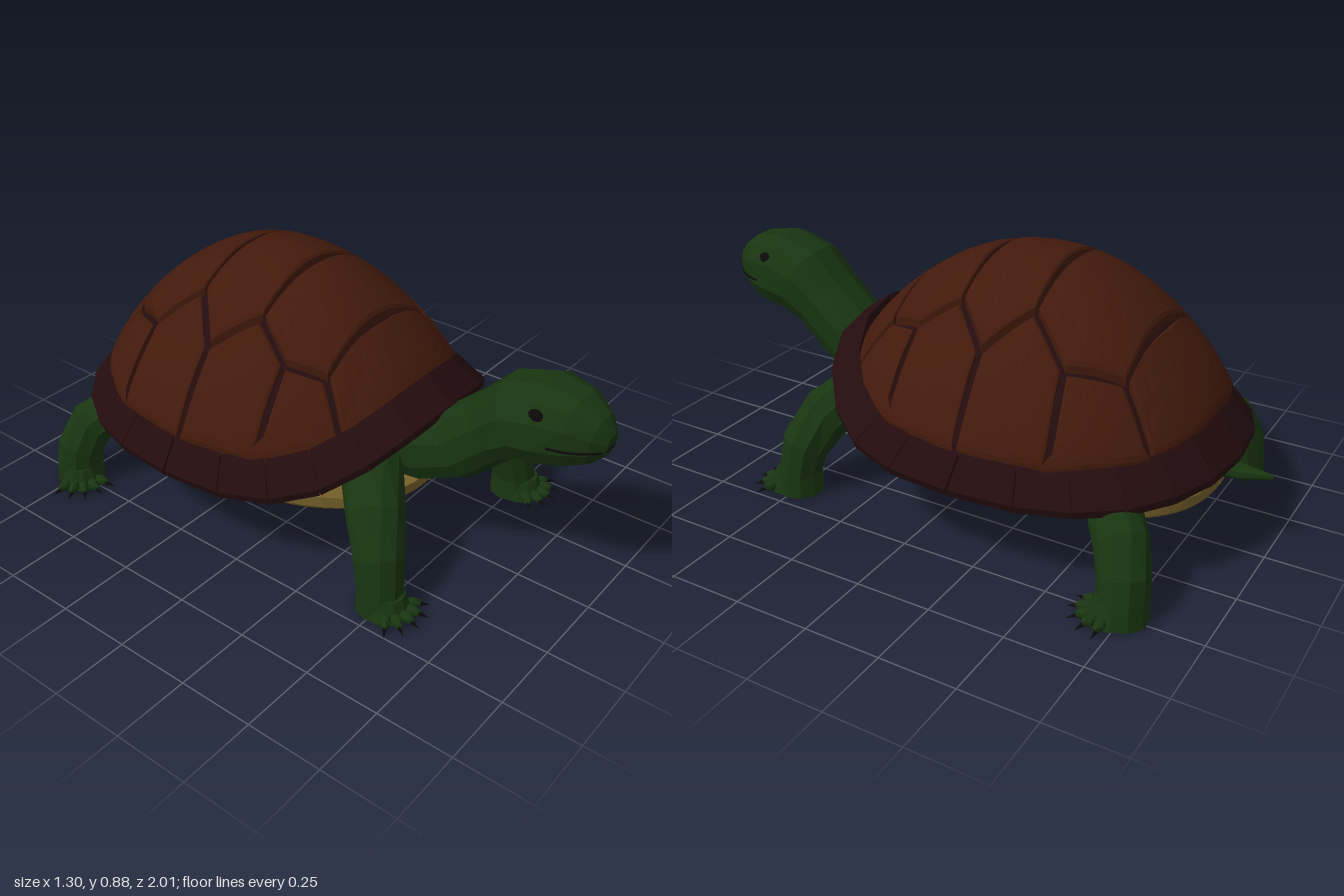
import * as THREE from 'three';
import { ConvexGeometry } from 'three/addons/geometries/ConvexGeometry.js';

const V = (x, y, z) => new THREE.Vector3(x, y, z);
const mat = (color) => new THREE.MeshStandardMaterial({ color, flatShading: true, side: THREE.DoubleSide });
const SHELL = mat(0x421a0c), RIM = mat(0x240c0e), SKIN = mat(0x193511), BELLY = mat(0x78622b), DARK = mat(0x0c0909);

function add(parent, name, geometry, material) {
  const mesh = new THREE.Mesh(geometry, material);
  mesh.name = name;
  parent.add(mesh);
  return mesh;
}

// Skin between closed rings of equal length, with a fan closing each end
function loft(rings) {
  const n = rings[0].length, pos = [], index = [];
  const put = (p) => pos.push(p.x, p.y, p.z) / 3 - 1;
  const middle = (ring) => ring.reduce((sum, p) => sum.add(p), V(0, 0, 0)).divideScalar(n);
  rings.forEach((ring) => ring.forEach(put));
  const first = put(middle(rings[0])), last = put(middle(rings.at(-1)));
  const end = (rings.length - 1) * n;
  for (let j = 0; j < n; j++) {
    const k = (j + 1) % n;
    for (let i = 0; i < end; i += n) index.push(i + j, i + k, i + n + j, i + k, i + n + k, i + n + j);
    index.push(first, k, j, last, end + j, end + k);
  }
  const g = new THREE.BufferGeometry();
  g.setAttribute('position', new THREE.Float32BufferAttribute(pos, 3));
  g.setIndex(index);
  const flat = g.toNonIndexed();
  flat.computeVertexNormals();
  return flat;
}

// Signed power: rounds a circle towards a square when n > 2
const bulge = (v, n) => Math.sign(v) * Math.abs(v) ** (2 / n);

// Oval sections along a path of [x, y, z, width, height]
function limb(path, ref, sides = 10, pow = 2) {
  const c = path.map((p) => V(p[0], p[1], p[2]));
  return loft(path.map(([, , , w, h], i) => {
    const t = c[Math.min(i + 1, c.length - 1)].clone().sub(c[Math.max(i - 1, 0)]);
    if (i === c.length - 2) t.copy(c[i + 1]).sub(c[i]);
    t.normalize();
    const side = ref.clone().addScaledVector(t, -ref.dot(t)).normalize();
    const up = t.clone().cross(side);
    return Array.from({ length: sides }, (_, j) => {
      const a = ((j + 0.5) / sides) * Math.PI * 2;
      return c[i].clone().addScaledVector(side, w * bulge(Math.cos(a), pow)).addScaledVector(up, h * bulge(Math.sin(a), pow));
    });
  }));
}

// Rounded oval outlines seen from above
const POW = 2.3;
const DOME = { hx: 0.53, hz: 0.6, zc: -0.22 };
const EDGE = { hx: 0.588, hz: 0.683, zc: -0.212 };
const PLASTRON = { hx: 0.48, hz: 0.62, zc: -0.22 };
const norm = (o, x, z) => (Math.abs(x / o.hx) ** POW + Math.abs((z - o.zc) / o.hz) ** POW) ** (1 / POW);
const along = (o, x, z) => (z - o.zc) / o.hz / Math.max(norm(o, x, z), 0.001);
function outline(o, a, k, height) {
  const x = o.hx * k * bulge(Math.cos(a), POW), z = o.zc + o.hz * k * bulge(Math.sin(a), POW);
  return V(x, height(x, z), z);
}
const ovalRing = (o, k, height) => Array.from({ length: 48 }, (_, j) => outline(o, (j / 48) * Math.PI * 2, k, height));

// Height rules of dome, rim and belly
const lift = (s, front, back) => (s > 0 ? front : back) * s ** 4;
const domeEdge = (x, z) => 0.39 + lift(along(DOME, x, z), 0.14, 0.05);
const domeY = (x, z) => {
  const e = domeEdge(x, z), r = Math.min(norm(DOME, x, z), 1);
  return e + (0.88 - e) * (1 - r ** 2) ** 0.85;
};
const rimY = (x, z) => 0.305 + lift(along(EDGE, x, z), 0.225, 0.035);
const rimInnerY = (x, z) => domeEdge(x, z) + 0.01 + lift(along(DOME, x, z), 0.06, 0);
const bellyTop = (x, z) => 0.305 - 0.06 * along(PLASTRON, x, z) ** 2;
const bellyY = (x, z) => 0.125 + (0.13 - 0.05 * along(PLASTRON, x, z) ** 2) * norm(PLASTRON, x, z) ** 2.6;

// Raised plate over a polygon of [x, z]; dir is +1 for upward, -1 for downward
function plate(poly, o, height, dir, gap, depth) {
  const pts = [];
  poly.forEach((p, i) => {
    const q = poly[(i + 1) % poly.length];
    const n = Math.ceil(Math.hypot(q[0] - p[0], q[1] - p[1]) / 0.06 / 2) * 2;
    for (let s = 0; s < n; s++) {
      const x = p[0] + ((q[0] - p[0]) * s) / n, z = p[1] + ((q[1] - p[1]) * s) / n;
      const k = 1 / Math.max(1, norm(o, x, z));
      pts.push(new THREE.Vector2(x * k, o.zc + (z - o.zc) * k));
    }
  });
  if (THREE.ShapeUtils.area(pts) * dir > 0) pts.reverse();
  const c = pts.reduce((sum, p) => sum.add(p), new THREE.Vector2()).divideScalar(pts.length);
  const ring = (inset, scale, drop) => pts.map((p) => {
    const d = p.clone().sub(c);
    d.multiplyScalar(scale * (1 - inset / d.length())).add(c);
    return V(d.x, height(d.x, d.y) - dir * drop, d.y);
  });
  const top = [0.85, 0.7, 0.55, 0.4, 0.25, 0.1].map((k) => ring(gap, k, 0));
  return loft([ring(gap, 1, depth), ring(gap, 1, 0.006), ring(gap + 0.008, 1, 0), ...top]);
}
const mirrored = (poly) => poly.map(([x, z]) => [-x, z]);

function buildShell(root) {
  const shell = new THREE.Group();
  shell.name = 'shell';
  root.add(shell);
  const rings = [0.1, 0.3, 0.5, 0.7, 0.85, 0.95, 1].map((k) => ovalRing(DOME, k, (x, z) => domeY(x, z) - 0.03));
  rings.push(ovalRing(EDGE, 0.98, (x, z) => rimY(x, z) - 0.008));
  const under = rings.slice(3).reverse().map((r) => r.map((p) => V(p.x * 0.98, p.y - 0.02, p.z)));
  add(shell, 'shellBase', loft([...rings, ...under]), RIM);

  // Centre row: seam corners alternate with outward points
  const seam = [[0.26, 0.185], [0.26, -0.07], [0.255, -0.32], [0.26, -0.62]];
  const point = [[0.31, 0.06], [0.37, -0.2], [0.34, -0.46]];
  const half = [
    [[0.2, 0.45], [0.34, 0.32], seam[0]],
    ...point.map((p, i) => [seam[i], p, seam[i + 1]]),
    [seam[3], [0.36, -0.82], [0.2, -0.92]],
  ];
  half.forEach((h) => add(shell, 'centreScute', plate([...h, ...mirrored(h).reverse()], DOME, domeY, 1, 0.012, 0.045), SHELL));

  // Side rows
  const out = [[0.34, 0.32], [0.6, 0.09], [0.65, -0.2], [0.6, -0.51], [0.36, -0.82]];
  const sides = [
    [seam[0], out[0], out[1], point[0]],
    [seam[1], point[0], out[1], out[2], point[1]],
    [seam[2], point[1], out[2], out[3], point[2]],
    [seam[3], point[2], out[3], out[4]],
  ];
  sides.forEach((p) => [p, mirrored(p)].forEach((q) => add(shell, 'sideScute', plate(q, DOME, domeY, 1, 0.012, 0.045), SHELL)));

  // Rim plates
  const count = 24, step = (Math.PI * 2) / count;
  for (let i = 0; i < count; i++) {
    const corners = [];
    for (const a of [(i + 0.01) * step, (i + 0.99) * step]) {
      const inner = outline(DOME, a, 0.985, rimInnerY), outer = outline(EDGE, a, 1, rimY);
      corners.push(inner, outer, V(inner.x, inner.y - 0.06, inner.z), V(outer.x * 0.985, outer.y - 0.025, outer.z));
    }
    add(shell, 'rimPlate', new ConvexGeometry(corners), RIM);
  }
}

function buildBelly(root) {
  const base = (x, z) => bellyY(x, z) + 0.02;
  const rings = [ovalRing(PLASTRON, 0.9, bellyTop), ovalRing(PLASTRON, 1, bellyTop)];
  [1, 0.9, 0.7, 0.4, 0.1].forEach((k) => rings.push(ovalRing(PLASTRON, k, base)));
  add(root, 'bellyBase', loft(rings), BELLY);
  // Paired plates with slanting seams
  const cuts = [0.6, 0.12, -0.18, -0.5, -1];
  for (let i = 0; i < 4; i++) {
    const a = cuts[i], b = cuts[i + 1];
    const p = [[0, a], [0.35, a - 0.02], [0.65, a], [0.65, b], [0.35, b - 0.02], [0, b]];
    [p, mirrored(p)].forEach((q) => add(root, 'bellyPlate', plate(q, PLASTRON, bellyY, -1, 0.006, 0.03), BELLY));
  }
}

// Leg with a padded foot, five toes and claws
function buildLeg(root, name, path, s, heading) {
  const leg = new THREE.Group();
  leg.name = name;
  root.add(leg);
  add(leg, 'limb', limb(path.map(([x, y, z, r]) => [s * x, y, z, r, r]), V(0, 0, 1)), SKIN);
  const [x, , z] = path.at(-1), h = s * heading;
  const fx = s * x + Math.sin(h) * 0.03, fz = z + Math.cos(h) * 0.03;
  add(leg, 'foot', new THREE.CylinderGeometry(0.055, 0.078, 0.07, 10), SKIN).position.set(fx, 0.037, fz);
  for (let i = -2; i <= 2; i++) {
    const a = h + i * 0.45;
    const place = (mesh, d, y) => {
      mesh.position.set(fx + Math.sin(a) * d, y, fz + Math.cos(a) * d);
      mesh.rotation.y = a;
    };
    place(add(leg, 'toe', new THREE.SphereGeometry(0.02, 7, 5).scale(0.9, 0.95, 2), SKIN), 0.07, 0.021);
    place(add(leg, 'claw', new THREE.ConeGeometry(0.009, 0.04, 5).rotateX(Math.PI / 2 + 0.2), DARK), 0.115, 0.013);
  }
}

export function createModel() {
  const root = new THREE.Group();
  root.name = 'turtle';
  buildShell(root);
  buildBelly(root);
  const body = add(root, 'body', new THREE.SphereGeometry(1, 20, 12).scale(0.46, 0.16, 0.58), SKIN);
  body.position.set(0, 0.36, -0.2);
  body.rotation.x = -0.08;

  // Neck and head in one sweep
  add(root, 'neckAndHead', limb([
    [0, 0.35, 0.2, 0.14, 0.12], [0, 0.37, 0.4, 0.128, 0.125], [0, 0.42, 0.52, 0.122, 0.115],
    [0, 0.53, 0.64, 0.127, 0.11], [0, 0.595, 0.72, 0.14, 0.128], [0, 0.617, 0.81, 0.143, 0.134],
    [0, 0.615, 0.9, 0.112, 0.118], [0, 0.605, 0.965, 0.072, 0.08], [0, 0.6, 1, 0.035, 0.035],
  ], V(1, 0, 0), 12, 2.4), SKIN);
  const lips = [[0.125, 0.595, 0.86], [0.108, 0.592, 0.905], [0.07, 0.59, 0.963], [0.033, 0.59, 0.995]];
  const mouth = [...lips.map(([x, y, z]) => V(-x, y, z)), ...lips.reverse().map((p) => V(...p))];
  add(root, 'mouth', new THREE.TubeGeometry(new THREE.CatmullRomCurve3(mouth), 18, 0.004, 5), DARK);

  add(root, 'tail', limb([
    [0, 0.31, -0.62, 0.07, 0.06], [0, 0.285, -0.78, 0.042, 0.04], [0, 0.275, -0.9, 0.026, 0.027], [0, 0.285, -1, 0.004, 0.008],
  ], V(1, 0, 0), 8), SKIN);

  for (const s of [1, -1]) {
    const side = s > 0 ? 'left' : 'right';
    add(root, side + 'Eye', new THREE.SphereGeometry(0.024, 10, 7).scale(0.6, 0.85, 1), DARK).position.set(s * 0.117, 0.682, 0.815);
    buildLeg(root, side + 'FrontLeg', [
      [0.13, 0.36, 0.2, 0.1], [0.22, 0.345, 0.33, 0.1], [0.32, 0.275, 0.42, 0.093],
      [0.375, 0.17, 0.475, 0.082], [0.39, 0.07, 0.495, 0.075], [0.39, 0, 0.495, 0.08],
    ], s, 0.12);
    buildLeg(root, side + 'BackLeg', [
      [0.24, 0.29, -0.52, 0.085], [0.36, 0.27, -0.64, 0.085], [0.445, 0.215, -0.71, 0.083],
      [0.485, 0.13, -0.74, 0.08], [0.495, 0.06, -0.745, 0.078], [0.495, 0, -0.745, 0.082],
    ], s, 0.65);
  }
  return root;
}
